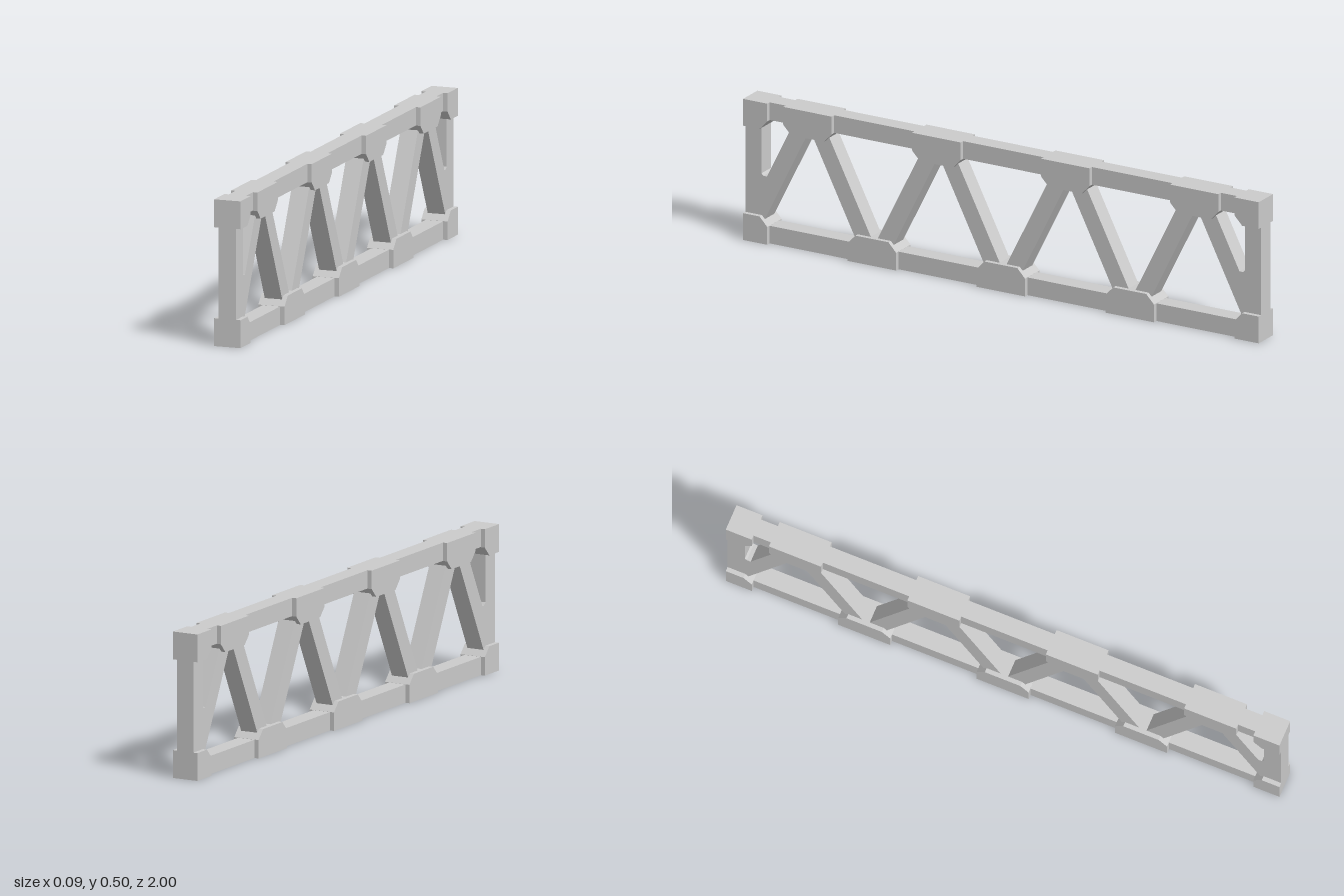
import * as THREE from 'three';

const HEIGHT = 0.5, BAR = 0.0625;      // truss height, chord thickness
const FRAME_W = 0.0625, NODE_W = 0.094; // thickness across x
const H = 0.034;                        // half width of a diagonal along z

const material = new THREE.MeshStandardMaterial({ color: 0xcccccc, flatShading: true });
const toPoints = (list) => list.map(([z, y]) => new THREE.Vector2(z, y));

// Extrudes a (z, y) profile across x, centred on x = 0
function plate(name, outline, width, holes = []) {
  const shape = new THREE.Shape(toPoints(outline));
  for (const hole of holes) shape.holes.push(new THREE.Path(toPoints(hole)));
  const geometry = new THREE.ExtrudeGeometry(shape, { depth: width, bevelEnabled: false });
  geometry.translate(0, 0, -width / 2);
  geometry.rotateY(-Math.PI / 2);
  const mesh = new THREE.Mesh(geometry, material);
  mesh.name = name;
  return mesh;
}

export function createModel() {
  const truss = new THREE.Group();
  truss.name = 'truss';

  // Frame: chords, end posts and diagonals left standing between the openings
  const top = HEIGHT - BAR;
  const half = top / 2 - H;
  const reach = 2 * half;
  const holes = [];
  for (const z of [-0.75, -0.25, 0.25, 0.75])
    holes.push([[z - half, BAR], [z + half, BAR], [z, BAR + reach]]);
  for (const z of [-0.5, 0, 0.5])
    holes.push([[z - half, top], [z, top - reach], [z + half, top]]);
  // Narrow openings beside the end posts, closed by a small web at the bottom
  const post = 1 - BAR, web = 0.235;
  for (const s of [-1, 1])
    holes.push([
      [s * post, top], [s * (0.75 + BAR / 2 + H), top],
      [s * (0.75 + (HEIGHT - web) / 2 + H), web],
      [s * (post - 0.007), web], [s * post, web + 0.008],
    ]);
  truss.add(plate('frame', [[-1, 0], [1, 0], [1, HEIGHT], [-1, HEIGHT]], FRAME_W, holes));

  // Thicker joint blocks with chamfered inner corners
  const joint = [[-0.094, 0], [0.094, 0], [0.094, 0.063], [0.064, 0.095], [-0.064, 0.095], [-0.094, 0.063]];
  const corner = [[1, 0], [1, 0.095], [0.936, 0.095], [0.906, 0.063], [0.906, 0]];
  const flip = (list) => list.map(([z, y]) => [z, HEIGHT - y]);
  for (const z of [-0.5, 0, 0.5])
    truss.add(plate('bottomJoint', joint.map(([u, y]) => [u + z, y]), NODE_W));
  for (const z of [-0.75, -0.25, 0.25, 0.75])
    truss.add(plate('topJoint', flip(joint.map(([u, y]) => [u + z, y])), NODE_W));
  for (const s of [-1, 1]) {
    const end = corner.map(([z, y]) => [s * z, y]);
    truss.add(plate('bottomCorner', end, NODE_W));
    truss.add(plate('topCorner', flip(end), NODE_W));
  }
  return truss;
}
